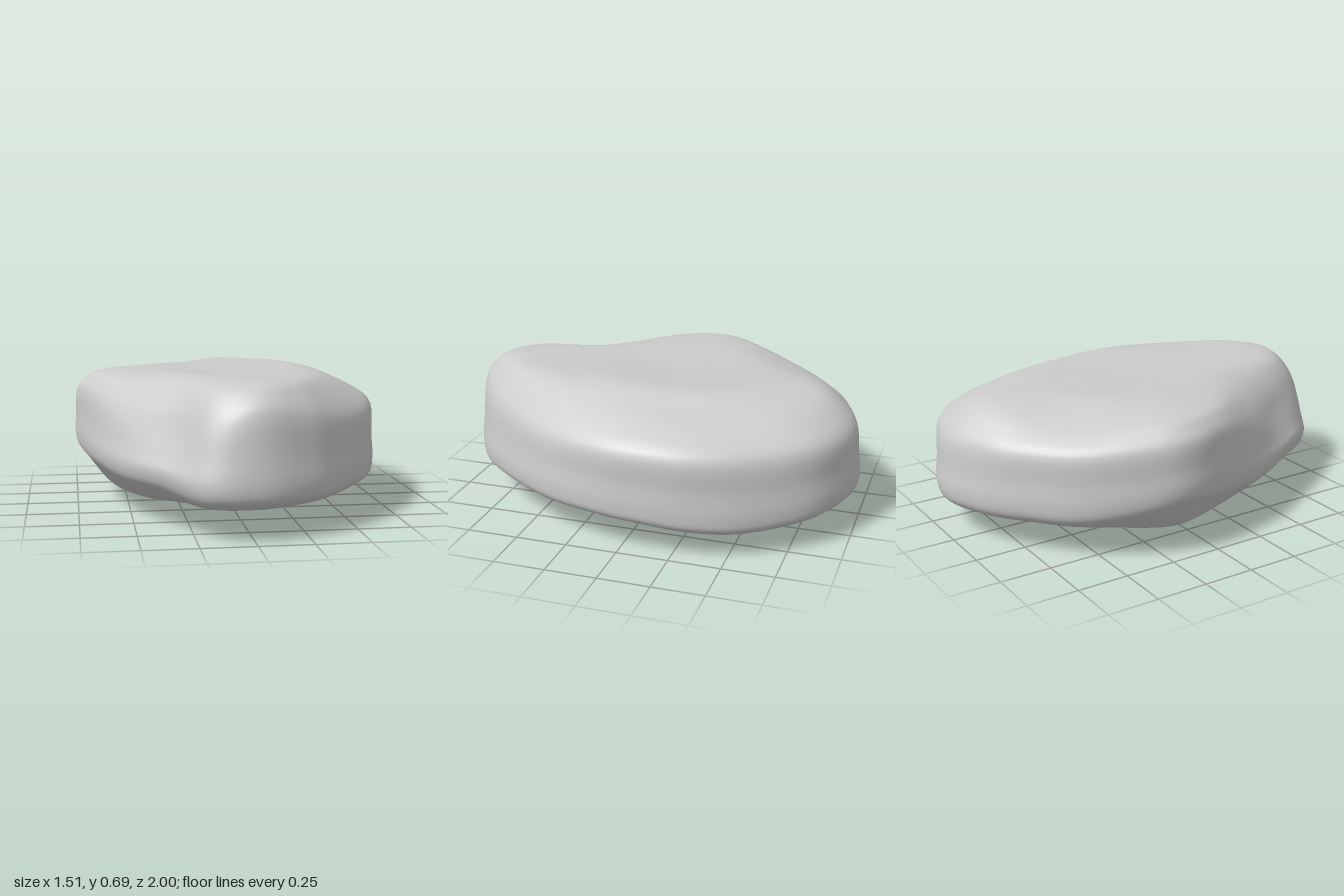
import * as THREE from 'three';
import { mergeVertices } from 'three/addons/utils/BufferGeometryUtils.js';

// Plan outline, clockwise from the back:
// x, z, height of lower edge, shoulder height, top rim height, top rim inset, shoulder inset
const OUTLINE = [
  [0.12, -1.0, 0.2, 0.49, 0.65, 0.19, 0.03],
  [0.42, -0.87, 0.18, 0.49, 0.63, 0.22, 0.02],
  [0.63, -0.6, 0.16, 0.48, 0.62, 0.26, 0.03],
  [0.725, -0.36, 0.17, 0.49, 0.63, 0.3, 0.015],
  [0.75, -0.12, 0.19, 0.5, 0.64, 0.31, 0.01],
  [0.73, 0.12, 0.2, 0.5, 0.645, 0.3, 0.02],
  [0.63, 0.43, 0.2, 0.49, 0.65, 0.27, 0.04],
  [0.4, 0.77, 0.2, 0.51, 0.665, 0.21, 0.05],
  [0.23, 0.91, 0.2, 0.54, 0.67, 0.16, 0.04],
  [0.02, 0.99, 0.2, 0.57, 0.665, 0.13, 0.04],
  [-0.21, 0.965, 0.21, 0.5, 0.65, 0.18, 0.07],
  [-0.39, 0.75, 0.25, 0.44, 0.63, 0.26, 0.11],
  [-0.57, 0.43, 0.25, 0.47, 0.635, 0.22, 0.07],
  [-0.7, 0.1, 0.28, 0.56, 0.65, 0.12, 0.03],
  [-0.755, -0.16, 0.31, 0.56, 0.65, 0.11, 0.015],
  [-0.69, -0.39, 0.27, 0.54, 0.64, 0.15, 0.02],
  [-0.54, -0.63, 0.23, 0.52, 0.625, 0.19, 0.02],
  [-0.33, -0.815, 0.22, 0.51, 0.625, 0.19, 0.02],
  [-0.13, -0.94, 0.21, 0.5, 0.64, 0.18, 0.03],
];
const COLUMNS = 114, ROWS = 64;
const CENTRE = new THREE.Vector3(0, 0, -0.03);
const KEEL = new THREE.Vector3(-0.22, 0, 0.0);

function closedCurve(pick) {
  const points = OUTLINE.map((r) => new THREE.Vector3(...pick(r)));
  return new THREE.CatmullRomCurve3(points, true, 'catmullrom', 0.5);
}

// Gentle hollows and swells on the upper face
function swell(x, z) {
  const bump = (cx, cz, w) => Math.exp(-((x - cx) ** 2 + (z - cz) ** 2) / (w * w));
  return 0.015 * bump(0.3, 0.15, 0.25) - 0.015 * bump(-0.05, 0.05, 0.25)
    + 0.01 * bump(0, 0.7, 0.2) - 0.015 * bump(-0.2, -0.5, 0.3);
}

function stoneGeometry() {
  const plan = closedCurve((r) => [r[0], 0, r[1]]);
  const heights = closedCurve((r) => [r[2], r[3], r[4]]);
  const insets = closedCurve((r) => [r[5], r[6], 0]);
  const positions = [], index = [];

  // One radial section per column: keel, lower edge, wall, rim, top centre
  const sections = [];
  for (let j = 0; j < COLUMNS; j++) {
    const t = j / COLUMNS;
    const edge = plan.getPoint(t), h = heights.getPoint(t), inset = insets.getPoint(t);
    const at = (f, y, hub = CENTRE) => hub.clone().lerp(edge, f).setY(y);
    const ends = edge.z ** 2; // the underside flattens out towards front and back
    sections.push(new THREE.CatmullRomCurve3([
      at(0, 0.002, KEEL),
      at(0.13, 0.008, KEEL),
      at(0.35, 0.03 + 0.035 * ends, KEEL),
      at(0.65, 0.078 + 0.045 * ends, KEEL),
      at(0.92, h.x - 0.06, KEEL),
      at(0.985, h.x - 0.02),
      at(1, h.x + 0.04),
      at(1 - inset.y * 0.35, (h.x + h.y) / 2),
      at(1 - inset.y, h.y),
      at(1 - inset.y * 0.5 - inset.x * 0.5, h.y * 0.42 + h.z * 0.58),
      at(1 - inset.x * 1.15, h.z),
      at(0.66 - inset.x * 0.5, 0.675),
      at(0.3, 0.677),
      at(0, 0.677),
    ], false, 'centripetal'));
  }

  for (let i = 0; i <= ROWS; i++) {
    for (const section of sections) {
      const p = section.getPoint(i / ROWS);
      if (p.y > 0.5) p.y += swell(p.x, p.z) * Math.min(1, (p.y - 0.5) / 0.15);
      positions.push(p.x, Math.max(p.y, 0), p.z);
    }
  }
  for (let i = 0; i < ROWS; i++) {
    for (let j = 0; j < COLUMNS; j++) {
      const a = i * COLUMNS + j, b = i * COLUMNS + ((j + 1) % COLUMNS);
      const c = a + COLUMNS, d = b + COLUMNS;
      // The first and last rows close to a single point
      if (i > 0) index.push(a, c, b);
      if (i < ROWS - 1) index.push(b, c, d);
    }
  }
  const geometry = new THREE.BufferGeometry();
  geometry.setAttribute('position', new THREE.Float32BufferAttribute(positions, 3));
  geometry.setIndex(index);
  const welded = mergeVertices(geometry, 1e-5);
  welded.computeVertexNormals();
  return welded;
}

export function createModel() {
  const group = new THREE.Group();
  group.name = 'rock';
  const stone = new THREE.Mesh(
    stoneGeometry(),
    new THREE.MeshStandardMaterial({ color: 0xcccccc }),
  );
  stone.name = 'stone';
  group.add(stone);
  return group;
}
